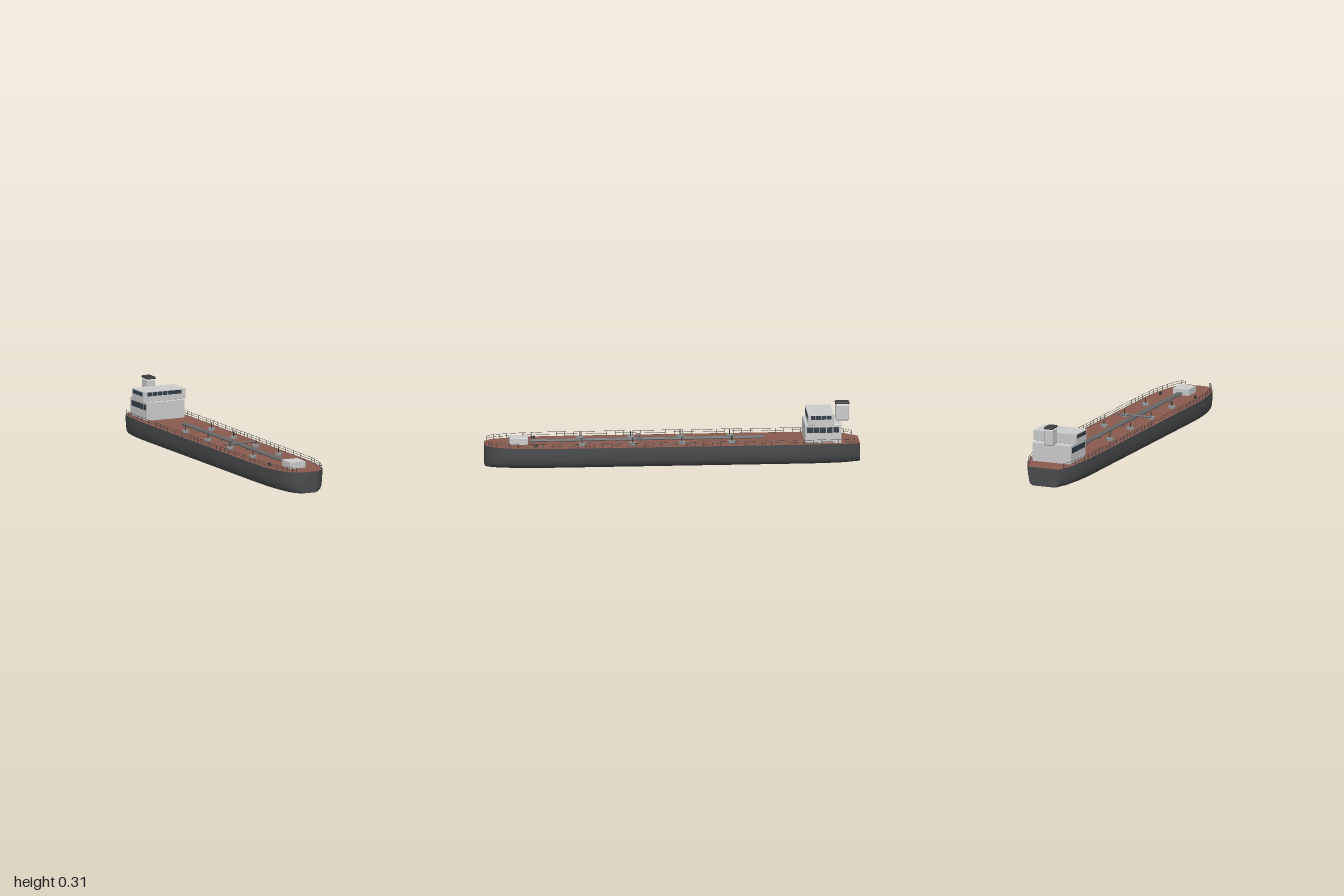
import * as THREE from 'three';
import { toCreasedNormals, mergeGeometries } from 'three/addons/utils/BufferGeometryUtils.js';
import { RoundedBoxGeometry } from 'three/addons/geometries/RoundedBoxGeometry.js';

const mat = (color, extra = {}) => Object.assign(new THREE.MeshStandardMaterial({ color }), extra);
const grey = mat(0xcccccc);
const hullMat = mat(0x4a4b4d);
const deckMat = mat(0x8a5a4e);
const glass = mat(0x333d48);
const pipeMat = mat(0x6a6a6a);
const fitting = mat(0x909595);
const dark = mat(0x3c3c3e);

// Stations along the ship: z, half breadth, deck height
const STATIONS = [
  [-1, 0.09, 0.101], [-0.92, 0.131, 0.108], [-0.84, 0.146, 0.112], [-0.75, 0.154, 0.112],
  [-0.6, 0.155, 0.112], [0.62, 0.155, 0.112], [0.72, 0.152, 0.112], [0.8, 0.144, 0.112],
  [0.87, 0.131, 0.112], [0.93, 0.114, 0.113], [0.97, 0.092, 0.114], [0.99, 0.07, 0.114], [1, 0.05, 0.114],
];
// Half cross-section from deck edge to keel, as fractions of breadth and depth
const SECTION = [[0.975, 1], [1, 1], [1, 0.7], [0.985, 0.42], [0.95, 0.22], [0.88, 0.09], [0.72, 0]];
const RING = [...SECTION, ...SECTION.slice().reverse().map(([x, y]) => [-x, y])];

function stationAt(z) {
  let i = 1;
  while (i < STATIONS.length - 1 && STATIONS[i][0] < z) i++;
  const [a, b] = [STATIONS[i - 1], STATIONS[i]];
  const t = (z - a[0]) / (b[0] - a[0]);
  return { w: a[1] + (b[1] - a[1]) * t, y: a[2] + (b[2] - a[2]) * t };
}

// Builds hull plating (with bow and transom caps) or the deck from the stations
function shell(deckOnly) {
  const pos = [];
  const idx = [];
  const n = RING.length;
  const last = STATIONS.length - 1;
  for (const [z, w, h] of STATIONS) for (const [x, y] of RING) pos.push(x * w, y * h, z);
  const quad = (a, b, c, d) => idx.push(a, b, c, a, c, d);
  for (let s = 0; s < last; s++) {
    const p = s * n;
    const q = p + n;
    if (deckOnly) quad(p, p + n - 1, q + n - 1, q);
    else for (let i = 0; i < n - 1; i++) quad(p + i, q + i, q + i + 1, p + i + 1);
  }
  if (!deckOnly) {
    for (let i = 1; i < n - 1; i++) {
      idx.push(0, i, i + 1);
      idx.push(last * n, last * n + i + 1, last * n + i);
    }
  }
  const g = new THREE.BufferGeometry();
  g.setAttribute('position', new THREE.Float32BufferAttribute(pos, 3));
  g.setIndex(idx);
  return toCreasedNormals(g, 0.6);
}

export function createModel() {
  const ship = new THREE.Group();
  ship.name = 'tankerShip';

  const add = (name, geo, material, x = 0, y = 0, z = 0, parent = ship) => {
    const m = new THREE.Mesh(geo, material);
    m.name = name;
    m.position.set(x, y, z);
    parent.add(m);
    return m;
  };
  // Box given by its limits on each axis
  const block = (name, x0, x1, y0, y1, z0, z1, material = grey, r = 0, parent = ship) => {
    const size = [x1 - x0, y1 - y0, z1 - z0];
    const geo = r ? new RoundedBoxGeometry(...size, 3, r) : new THREE.BoxGeometry(...size);
    return add(name, geo, material, (x0 + x1) / 2, (y0 + y1) / 2, (z0 + z1) / 2, parent);
  };
  const group = (name) => {
    const g = new THREE.Group();
    g.name = name;
    ship.add(g);
    return g;
  };

  add('hull', shell(false), hullMat);
  add('deck', shell(true), deckMat);

  // Deckhouse, bridge and funnel
  block('deckhouse', -0.112, 0.112, 0.105, 0.21, -0.9, -0.705, grey, 0.002);
  block('bridge', -0.125, 0.125, 0.211, 0.267, -0.857, -0.72, grey, 0.002);
  block('funnel', -0.025, 0.025, 0.21, 0.3, -0.946, -0.874, grey, 0.009);
  block('funnelCap', -0.025, 0.025, 0.3, 0.312, -0.948, -0.872, dark, 0.004);

  // Windows
  const windows = group('windows');
  for (let i = -3; i <= 3; i++) {
    const x = i * 0.0295;
    block('bridgeFrontWindow', x - 0.0132, x + 0.0132, 0.241, 0.261, -0.722, -0.7185, glass, 0, windows);
  }
  for (const s of [-1, 1]) {
    for (let i = 0; i < 4; i++) {
      const z = -0.747 - i * 0.028;
      const x = s * 0.125;
      block('bridgeSideWindow', x - 0.0015, x + 0.0015, 0.241, 0.261, z - 0.0125, z + 0.0125, glass, 0, windows);
    }
    for (let i = 0; i < 5; i++) {
      const z = -0.73 - i * 0.035;
      const x = s * 0.112;
      block('deckhouseSideWindow', x - 0.0015, x + 0.0015, 0.166, 0.196, z - 0.015, z + 0.015, glass, 0, windows);
    }
  }

  // Forward store
  block('forwardStore', -0.046, 0.046, 0.11, 0.147, 0.77, 0.868, grey, 0.002);

  // Cargo pipes along the deck, with a crossing manifold
  const pipes = group('cargoPipes');
  for (const x of [-0.011, 0, 0.011]) {
    const p = add('deckPipe', new THREE.CylinderGeometry(0.0055, 0.0055, 1.25, 10), pipeMat, x, 0.125, 0.135, pipes);
    p.rotation.x = Math.PI / 2;
  }
  for (const z of [0.168, 0.18]) {
    const p = add('manifoldPipe', new THREE.CylinderGeometry(0.004, 0.004, 0.19, 8), pipeMat, 0, 0.131, z, pipes);
    p.rotation.z = Math.PI / 2;
  }
  for (let z = -0.46; z < 0.76; z += 0.15) {
    block('pipeSupport', -0.017, 0.017, 0.111, 0.121, z - 0.004, z + 0.004, pipeMat, 0, pipes);
  }

  // Tank hatches with vent posts, and mooring bollards
  const fittings = group('deckFittings');
  for (const s of [-1, 1]) {
    for (const z of [-0.315, -0.05, 0.215, 0.485]) {
      add('tankHatch', new THREE.CylinderGeometry(0.02, 0.02, 0.012, 16), fitting, s * 0.077, 0.118, z, fittings);
      add('ventPost', new THREE.CylinderGeometry(0.003, 0.003, 0.038, 8), dark, s * 0.077, 0.131, z, fittings);
    }
    for (const z of [0.728, 0.742]) {
      add('bollard', new THREE.CylinderGeometry(0.005, 0.005, 0.016, 8), dark, s * 0.102, 0.119, z, fittings);
    }
  }

  // Handrails following the deck edge on both sides
  const rails = group('handrails');
  const zs = [];
  for (let z = -0.97; z < 0.9; z += 0.045) zs.push(z);
  zs.push(0.91, 0.945, 0.97, 0.985);
  for (const s of [-1, 1]) {
    const feet = zs.map((z) => {
      const { w, y } = stationAt(z);
      return new THREE.Vector3(s * (w - 0.006), y, z);
    });
    const posts = feet.map((f) => new THREE.CylinderGeometry(0.001, 0.001, 0.024, 5).translate(f.x, f.y + 0.012, f.z));
    add('railPosts', mergeGeometries(posts), dark, 0, 0, 0, rails);
    for (const h of [0.012, 0.024]) {
      const path = new THREE.CatmullRomCurve3(feet.map((f) => f.clone().setY(f.y + h)));
      add('railBar', new THREE.TubeGeometry(path, 110, 0.001, 5), dark, 0, 0, 0, rails);
    }
  }
  return ship;
}
